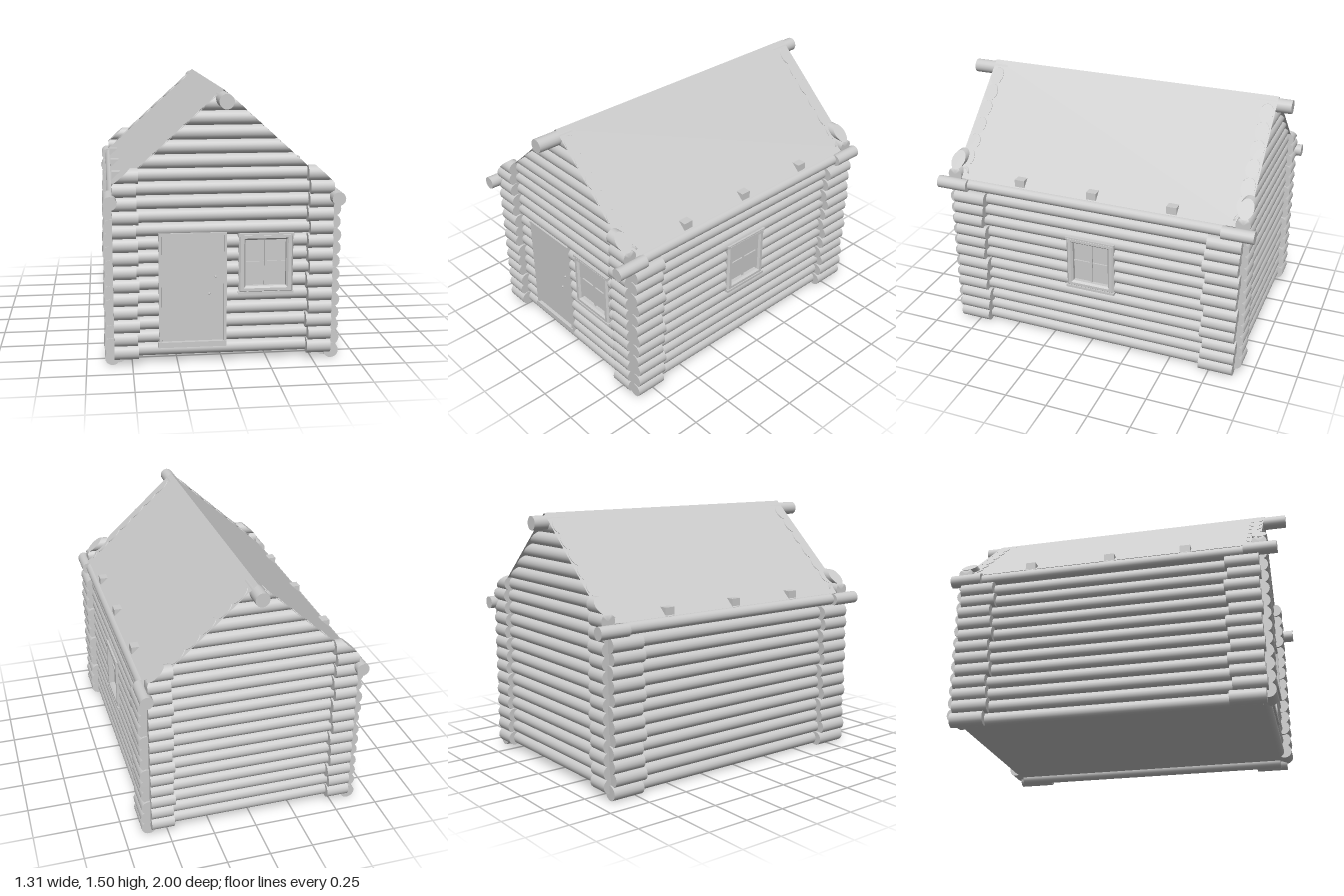
import * as THREE from 'three';

const RIDGE_Y = 1.505, SLOPE = 0.91;      // roof plane: y = RIDGE_Y - SLOPE * |x|
const THIN = 0.038, THICK = 0.043;        // log radii: wall runs and corner ends
const WALL_X = 0.572, CORNER_X = 0.608;   // corner ends stand proud of the wall runs

export function createModel() {
  const model = new THREE.Group();
  const mat = new THREE.MeshStandardMaterial({ color: 0xcccccc });
  const sheet = new THREE.MeshStandardMaterial({ color: 0xcccccc, side: THREE.DoubleSide });

  const group = (name, parent = model) => {
    const g = new THREE.Group();
    g.name = name;
    parent.add(g);
    return g;
  };
  const add = (parent, name, geo, material = mat) => {
    const m = new THREE.Mesh(geo, material);
    m.name = name;
    parent.add(m);
    return m;
  };
  const box = (parent, name, x0, x1, y0, y1, z0, z1) => add(parent, name,
    new THREE.BoxGeometry(x1 - x0, y1 - y0, z1 - z0)
      .translate((x0 + x1) / 2, (y0 + y1) / 2, (z0 + z1) / 2));

  // Log along z from a to b
  const logZ = (parent, name, a, b, x, y, r) => add(parent, name,
    new THREE.CylinderGeometry(r, r, b - a, 20).rotateX(Math.PI / 2).translate(x, y, (a + b) / 2));

  // Log along x from a to b, its ends mitred to the roof slope raised by "lift"
  const logX = (parent, name, a, b, y, z, r, lift = 0.004) => {
    const geo = new THREE.CylinderGeometry(r, r, b - a, 20)
      .rotateZ(Math.PI / 2).translate((a + b) / 2, y, z);
    const p = geo.attributes.position, n = geo.attributes.normal;
    for (let i = 0; i < p.count; i++) {
      const x = p.getX(i), limit = Math.max(0, (RIDGE_Y + lift - p.getY(i)) / SLOPE);
      if (Math.abs(x) <= limit) continue;
      const s = Math.sign(x);
      p.setX(i, s * limit);
      if (Math.abs(n.getX(i)) > 0.5) n.setXYZ(i, s * 0.67, 0.74, 0);
    }
    return add(parent, name, geo);
  };

  // Split the span a..b around a list of openings
  const spans = (a, b, holes) => {
    const out = [];
    for (const [h0, h1] of holes) { out.push([a, h0]); a = h1; }
    return [...out, [a, b]];
  };

  // Front and back walls: recessed thin runs, thicker corner ends
  for (const [name, wallZ, cornerZ] of [['frontWall', 0.824, 0.865], ['backWall', -0.87, -0.897]]) {
    const wall = group(name);
    for (let k = 0; k <= 13; k++) {
      const y = 0.078 + 0.075 * k, holes = [];
      if (wallZ > 0 && k >= 1 && k <= 8) holes.push([-0.345, 0.015]);
      if (wallZ > 0 && k >= 5 && k <= 8) holes.push([0.1, 0.37]);
      for (const [a, b] of spans(-0.57, 0.57, holes)) logX(wall, 'wallLog', a, b, y, wallZ, THIN);
      const inner = 0.465 + 0.008 * Math.sin(k * 2.3);
      logX(wall, 'cornerLogEnd', inner, 0.598, y, cornerZ, THICK, 0.045);
      logX(wall, 'cornerLogEnd', -0.598, -inner, y, cornerZ, THICK, 0.045);
    }
    for (let k = 0; k < 5; k++) logX(wall, 'gableLog', -0.6, 0.6, 1.122 + 0.077 * k, wallZ, 0.0395);
  }

  // Side walls, with a window opening on the left
  for (const s of [-1, 1]) {
    const wall = group(s > 0 ? 'leftWall' : 'rightWall');
    for (let k = 0; k < 12; k++) {
      const y = 0.042 + 0.0735 * k, j = 0.012 * Math.sin(k * 2.1 + s);
      const holes = s > 0 && k >= 5 && k <= 8 ? [[-0.13, 0.12]] : [];
      for (const [a, b] of spans(-0.87, 0.83, holes)) logZ(wall, 'wallLog', a, b, s * WALL_X, y, THIN);
      const x = s * (CORNER_X + 0.003 * Math.sin(k * 1.7));
      logZ(wall, 'cornerLogEnd', 0.67 + j, 0.862 + j / 2, x, y, THICK - 0.001);
      logZ(wall, 'cornerLogEnd', -0.9 + j / 2, -0.7 + j, x, y, THICK - 0.001);
    }
    // Long plate log under the eaves
    logZ(wall, 'eaveLog', -0.8, 0.79, s * 0.588, 0.925, 0.034);
    logZ(wall, 'eaveLogEnd', 0.775, 0.965, s * 0.61, 0.924, 0.037);
    logZ(wall, 'eaveLogEnd', -0.97, -0.785, s * 0.61, 0.924, 0.037);
  }

  box(model, 'floor', -WALL_X, WALL_X, 0.04, 0.06, -0.87, 0.824);

  // Thin roof sheets
  const roof = group('roof');
  const run = 0.597, pitch = Math.atan(SLOPE), slant = run * Math.hypot(1, SLOPE);
  for (const s of [-1, 1]) {
    add(roof, 'roofSlope', new THREE.PlaneGeometry(slant, 1.785)
      .rotateX(-Math.PI / 2).rotateZ(-s * pitch)
      .translate(s * run / 2, RIDGE_Y - SLOPE * run / 2, -0.025), sheet);
  }

  // Ridge pole, thicker at both ends
  logZ(roof, 'ridgeLog', -0.82, 0.8, 0, 1.453, 0.034);
  logZ(roof, 'ridgeLogEnd', 0.78, 1, 0, 1.452, 0.04);
  logZ(roof, 'ridgeLogEnd', -1, -0.8, 0, 1.452, 0.04);

  // Tie beams whose ends break through the roof
  for (const z of [-0.49, -0.01, 0.44]) box(roof, 'tieBeam', -0.592, 0.592, 0.94, 1.01, z - 0.03, z + 0.03);

  // Door in its frame
  const door = group('door');
  box(door, 'doorPanel', -0.335, 0.005, 0.12, 0.722, 0.81, 0.85);
  for (const x of [-0.352, 0.005]) box(door, 'doorJamb', x, x + 0.015, 0.11, 0.732, 0.8, 0.866);
  box(door, 'doorHead', -0.352, 0.02, 0.72, 0.735, 0.8, 0.87);
  box(door, 'doorSill', -0.358, 0.02, 0.092, 0.122, 0.8, 0.872);
  for (const [x, y] of [[-0.04, 0.485], [-0.075, 0.39]]) {
    add(door, 'doorKnob', new THREE.SphereGeometry(0.006, 10, 8).translate(x, y, 0.853));
  }

  // Window facing +z, centred on its own origin, w x h inner opening
  const makeWindow = (name, w, h) => {
    const g = group(name);
    const rect = (target, a, b) => {
      target.moveTo(-a, -b);
      target.lineTo(a, -b);
      target.lineTo(a, b);
      target.lineTo(-a, b);
      target.closePath();
      return target;
    };
    const bevel = 0.01;
    const shape = rect(new THREE.Shape(), w / 2 + 0.028, h / 2 + 0.026);
    shape.holes.push(rect(new THREE.Path(), w / 2 + bevel, h / 2 + bevel));
    add(g, 'windowFrame', new THREE.ExtrudeGeometry(shape, {
      depth: 0.045, bevelEnabled: true, bevelSize: bevel, bevelThickness: 0.012, bevelSegments: 1,
    }).translate(0, 0, -0.018));
    box(g, 'windowPane', -w / 2 - 0.012, w / 2 + 0.012, -h / 2 - 0.012, h / 2 + 0.012, -0.005, 0.005);
    box(g, 'windowMullion', -0.007, 0.007, -h / 2, h / 2, 0, 0.015);
    box(g, 'windowRail', -w / 2, w / 2, -0.005, 0.005, 0, 0.013);
    box(g, 'windowSill', -w / 2 - 0.042, w / 2 + 0.042, -h / 2 - 0.045, -h / 2 - 0.03, -0.02, 0.042);
    box(g, 'windowHead', -w / 2 - 0.042, w / 2 + 0.042, h / 2 + 0.02, h / 2 + 0.036, -0.02, 0.038);
    return g;
  };
  makeWindow('frontWindow', 0.225, 0.26).position.set(0.236, 0.557, 0.832);
  const side = makeWindow('sideWindow', 0.22, 0.255);
  side.position.set(0.583, 0.548, -0.006);
  side.rotation.y = Math.PI / 2;

  return model;
}
